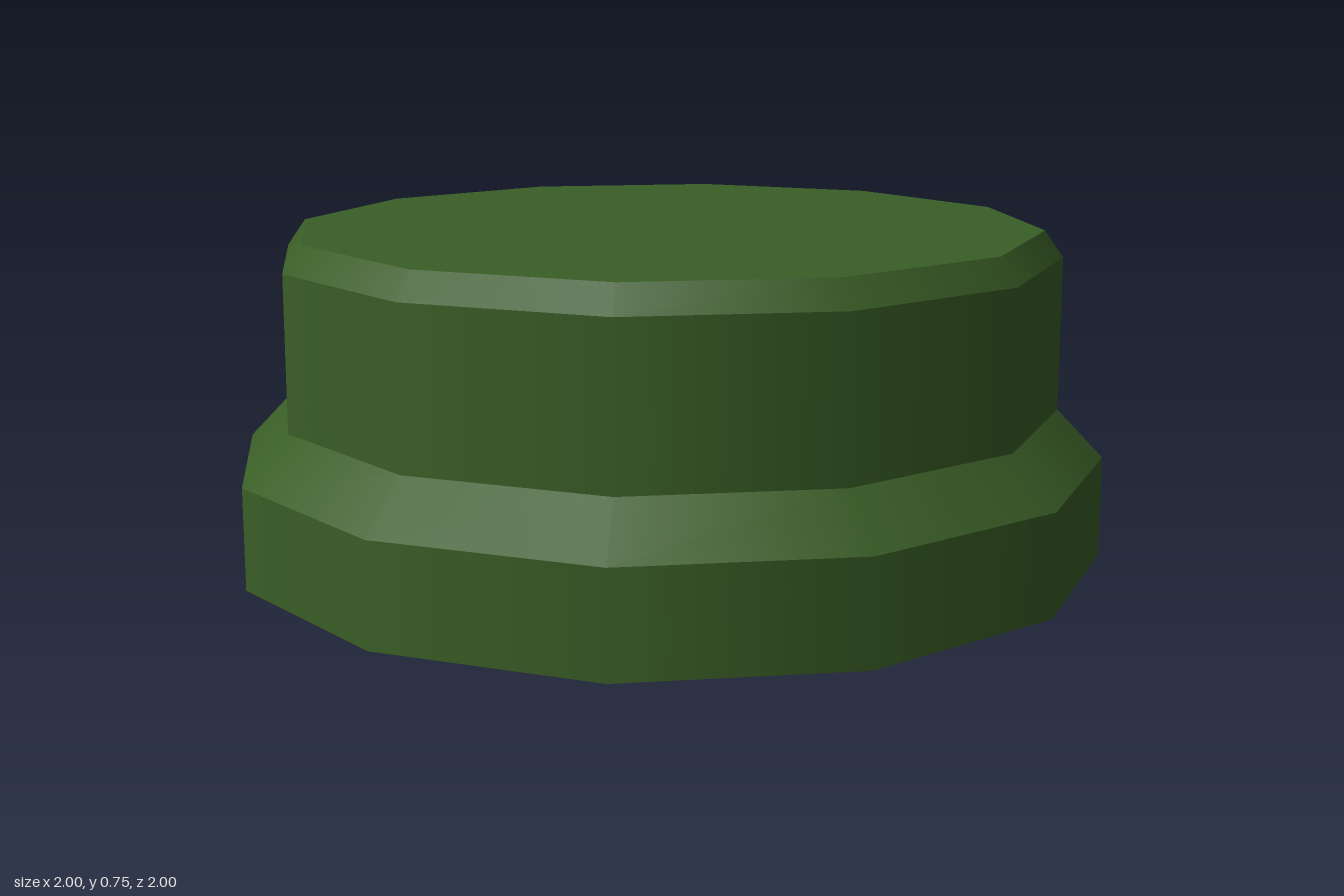
import * as THREE from 'three';

const SIDES = 12;

export function createModel() {
  const group = new THREE.Group();
  group.name = 'steppedCap';

  const green = new THREE.MeshStandardMaterial({ color: 0x3a5e26, side: THREE.DoubleSide });
  green.name = 'dark green';

  // Open bands, smooth around the ring with a hard edge between bands
  const bands = [
    // name, bottom radius, bottom y, top radius, top y
    ['baseRim', 1, 0, 1, 0.23],
    ['shoulder', 1, 0.23, 0.895, 0.34],
    ['upperWall', 0.895, 0.34, 0.895, 0.69],
    ['topBevel', 0.895, 0.69, 0.853, 0.75],
  ];
  for (const [name, r0, y0, r1, y1] of bands) {
    const band = new THREE.Mesh(new THREE.CylinderGeometry(r1, r0, y1 - y0, SIDES, 1, true), green);
    band.position.y = (y0 + y1) / 2;
    band.name = name;
    group.add(band);
  }

  // Flat lid; the underside of the shell stays open
  const lid = new THREE.Mesh(new THREE.CircleGeometry(0.853, SIDES), green);
  lid.rotation.x = -Math.PI / 2;
  lid.position.y = 0.75;
  lid.name = 'topLid';
  group.add(lid);

  return group;
}
